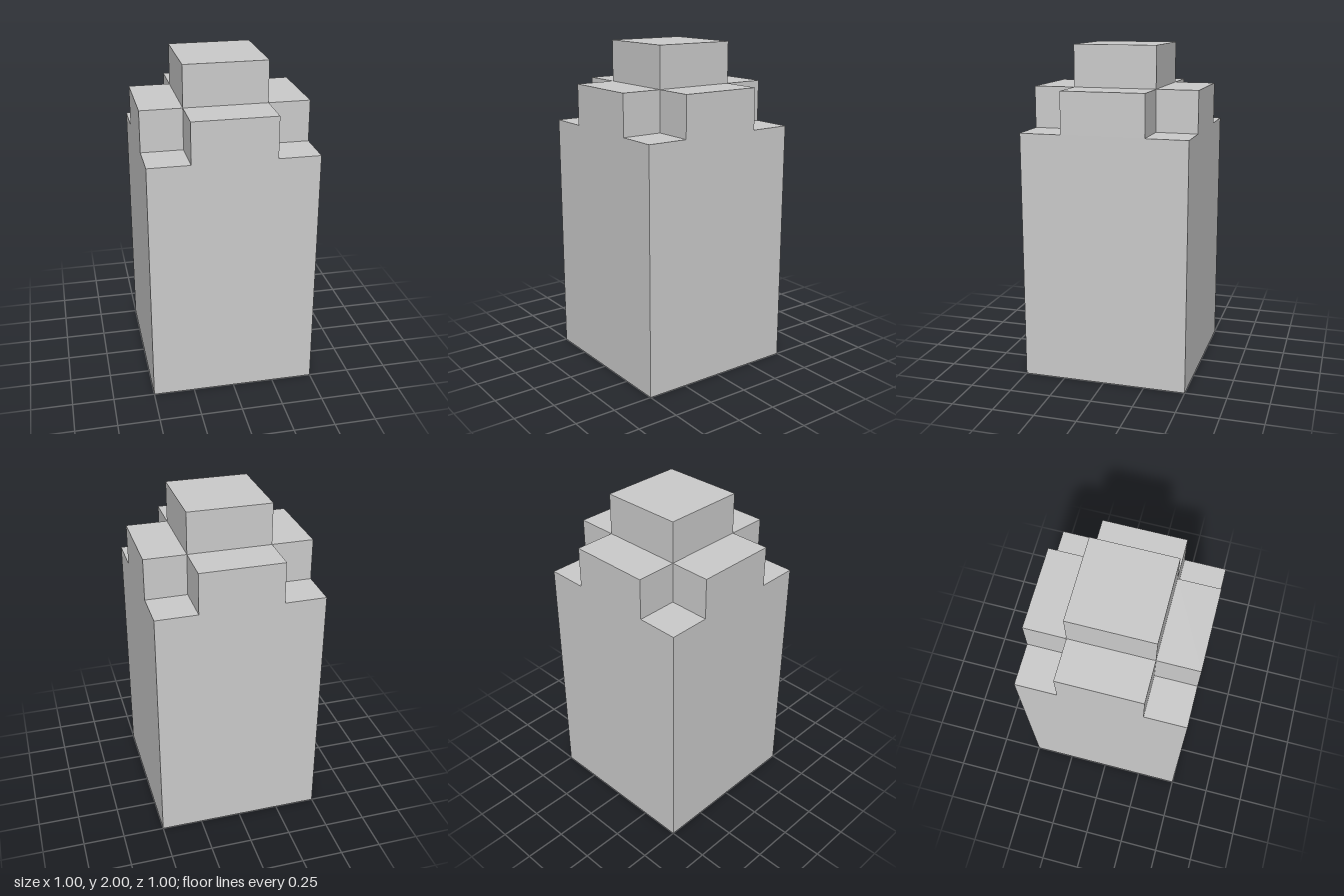
import * as THREE from 'three';
import { mergeGeometries } from 'three/addons/utils/BufferGeometryUtils.js';

const HALF = 0.5, INNER = 0.25, STEP = 0.25;   // half width, half cap width, step size
const LEDGE = 1.5, SHOULDER = 1.75, TOP = 2;   // heights of the three tiers

// Flat panel centred at (x, y, z), facing +z until turned.
const panel = (w, h, x, y, z, rx = 0, ry = 0) =>
  new THREE.PlaneGeometry(w, h).rotateX(rx).rotateY(ry).translate(x, y, z);

// Repeats a set of panels on all four sides.
const fourSides = (make) =>
  [0, 1, 2, 3].flatMap((i) => make().map((g) => g.rotateY((i * Math.PI) / 2)));

export function createModel() {
  const group = new THREE.Group();
  const material = new THREE.MeshStandardMaterial({ color: 0xcccccc });
  const up = -Math.PI / 2, quarter = Math.PI / 2;
  const mid = (INNER + HALF) / 2;

  const addPart = (name, panels) => {
    const mesh = new THREE.Mesh(mergeGeometries(panels), material);
    mesh.name = name;
    group.add(mesh);
  };

  // Tower body: four walls with stepped upper corners, and the underside
  const outline = new THREE.Shape([
    [-HALF, 0], [HALF, 0], [HALF, LEDGE], [INNER, LEDGE],
    [INNER, SHOULDER], [-INNER, SHOULDER], [-INNER, LEDGE], [-HALF, LEDGE],
  ].map(([x, y]) => new THREE.Vector2(x, y)));
  addPart('body', [
    ...fourSides(() => [new THREE.ShapeGeometry(outline).translate(0, 0, HALF)]),
    panel(2 * HALF, 2 * HALF, 0, 0, 0, quarter),
  ]);

  // Corner notches: a ledge and two inner walls each
  addPart('cornerNotches', fourSides(() => [
    panel(STEP, STEP, mid, LEDGE, mid, up),
    panel(STEP, STEP, mid, LEDGE + STEP / 2, INNER),
    panel(STEP, STEP, INNER, LEDGE + STEP / 2, mid, 0, quarter),
  ]));

  // Shoulders: tops of the four arms of the cross
  addPart('shoulders', fourSides(() => [
    panel(2 * INNER, STEP, 0, SHOULDER, mid, up),
  ]));

  // Raised square cap
  addPart('cap', [
    ...fourSides(() => [panel(2 * INNER, STEP, 0, SHOULDER + STEP / 2, INNER)]),
    panel(2 * INNER, 2 * INNER, 0, TOP, 0, up),
  ]);

  return group;
}
